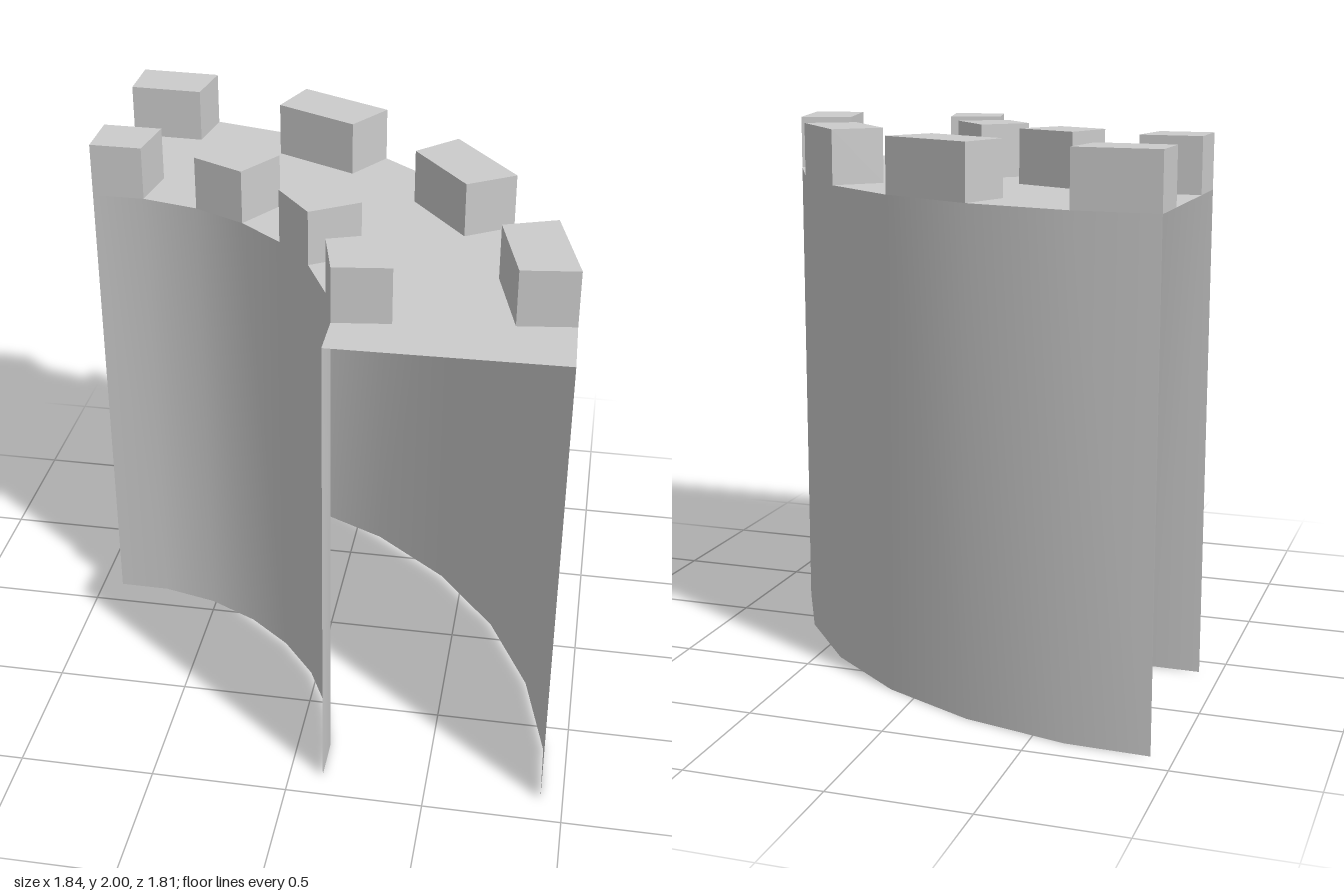
import * as THREE from 'three';

const DECK = 1.8, TOP = 2, DEPTH = 0.2;
const material = new THREE.MeshStandardMaterial({ color: 0xcccccc, side: THREE.DoubleSide });

// Plan of the curved wall as matching [x, z] points, back-left end to front-right end
const OUTER = [[-0.92, -0.91], [-0.617, -0.898], [-0.237, -0.805], [0.109, -0.637], [0.41, -0.395],
  [0.65, -0.094], [0.819, 0.254], [0.913, 0.628], [0.92, 0.89]];
const INNER = [[-0.92, -0.11], [-0.725, -0.108], [-0.513, -0.058], [-0.32, 0.038], [-0.158, 0.168],
  [-0.025, 0.332], [0.07, 0.528], [0.121, 0.732], [0.121, 0.902]];

function part(name, geometry) {
  const mesh = new THREE.Mesh(geometry, material);
  mesh.name = name;
  return mesh;
}

// Smooth open sheet standing on a plan path
function sheet(path) {
  const pos = [], index = [];
  path.forEach(([x, z], i) => {
    pos.push(x, 0, z, x, DECK, z);
    if (i < path.length - 1) {
      const a = 2 * i;
      index.push(a, a + 2, a + 1, a + 1, a + 2, a + 3);
    }
  });
  const g = new THREE.BufferGeometry();
  g.setAttribute('position', new THREE.Float32BufferAttribute(pos, 3));
  g.setIndex(index);
  g.computeVertexNormals();
  return g;
}

// Plan outline as a shape; after rotateX(-90 deg) its y becomes -z
const outline = pts => new THREE.Shape(pts.map(([x, z]) => new THREE.Vector2(x, -z)));

// Point a fixed depth from p towards q
function toward(p, q) {
  const dx = q[0] - p[0], dz = q[1] - p[1], s = DEPTH / Math.hypot(dx, dz);
  return [p[0] + dx * s, p[1] + dz * s];
}

// Block on wall segment i, its sides running across the wall
function merlon(edge, opposite, i) {
  const [a, b] = [edge[i], edge[i + 1]];
  const shape = outline([a, b, toward(b, opposite[i + 1]), toward(a, opposite[i])]);
  return new THREE.ExtrudeGeometry(shape, { depth: TOP - DECK, bevelEnabled: false })
    .rotateX(-Math.PI / 2).translate(0, DECK, 0);
}

export function createModel() {
  const model = new THREE.Group();
  model.name = 'curvedCastleWall';

  // Two wall faces, open at the ends and underneath
  model.add(part('outerWall', sheet([...OUTER].reverse())));
  model.add(part('innerWall', sheet(INNER)));

  // Walkway joining them
  const deck = new THREE.ShapeGeometry(outline([...OUTER, ...[...INNER].reverse()]));
  model.add(part('walkway', deck.rotateX(-Math.PI / 2).translate(0, DECK, 0)));

  // Battlements on every other segment of both edges
  const battlements = new THREE.Group();
  battlements.name = 'battlements';
  for (let i = 0; i < 8; i += 2) {
    battlements.add(part('outerMerlon', merlon(OUTER, INNER, i)));
    battlements.add(part('innerMerlon', merlon(INNER, OUTER, i)));
  }
  model.add(battlements);
  return model;
}
